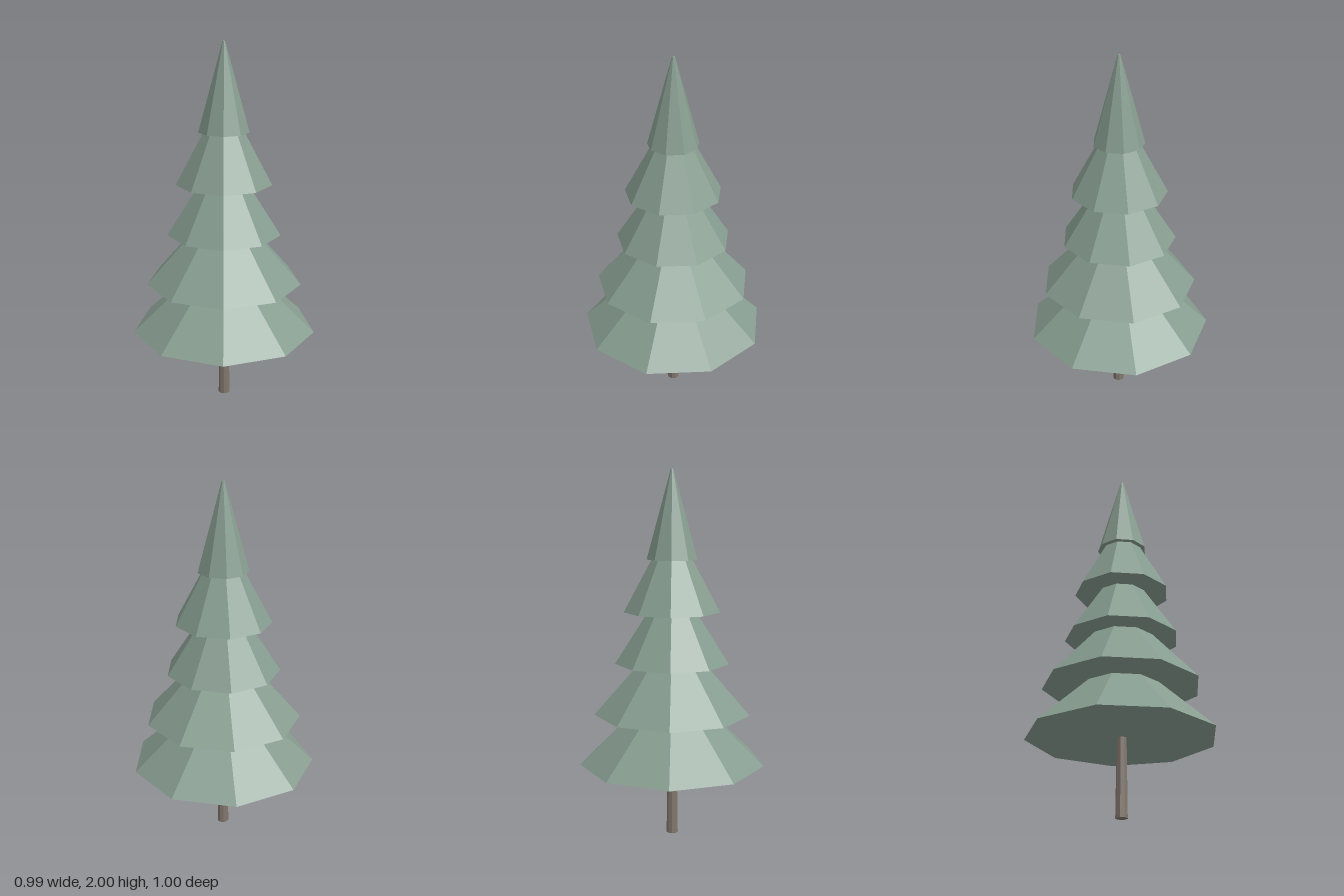
import * as THREE from 'three';

export function createModel() {
  const tree = new THREE.Group();
  tree.name = 'pineTree';

  const needles = new THREE.MeshStandardMaterial({ color: 0x879d90, flatShading: true });
  needles.name = 'sage green needles';
  const bark = new THREE.MeshStandardMaterial({ color: 0x81776d, flatShading: true });
  bark.name = 'grey brown bark';

  // The trunk axis sits slightly off zero: a nine-sided outline is not symmetric in x
  const axisX = -0.016;

  // A tapered, closed, faceted column with one corner towards +x
  function frustum(name, topRadius, bottomRadius, bottomY, height, sides, material) {
    const geometry = new THREE.CylinderGeometry(
      topRadius, bottomRadius, height, sides, 1, false, Math.PI / 2);
    const mesh = new THREE.Mesh(geometry, material);
    mesh.name = name;
    mesh.position.set(axisX, bottomY + height / 2, 0);
    tree.add(mesh);
  }

  // Trunk, running up into the lowest tier
  frustum('trunk', 0.025, 0.032, 0, 0.5, 9, bark);

  // Five overlapping tiers of foliage, from the bottom up
  const tierHeight = 0.47;
  const firstY = 0.416;
  const spacing = (2 - tierHeight - firstY) / 4;
  [0.508, 0.427, 0.311, 0.261, 0.137].forEach((radius, i) => {
    frustum(`foliageTier${i + 1}`, 0.007, radius, firstY + i * spacing, tierHeight, 9, needles);
  });

  return tree;
}
